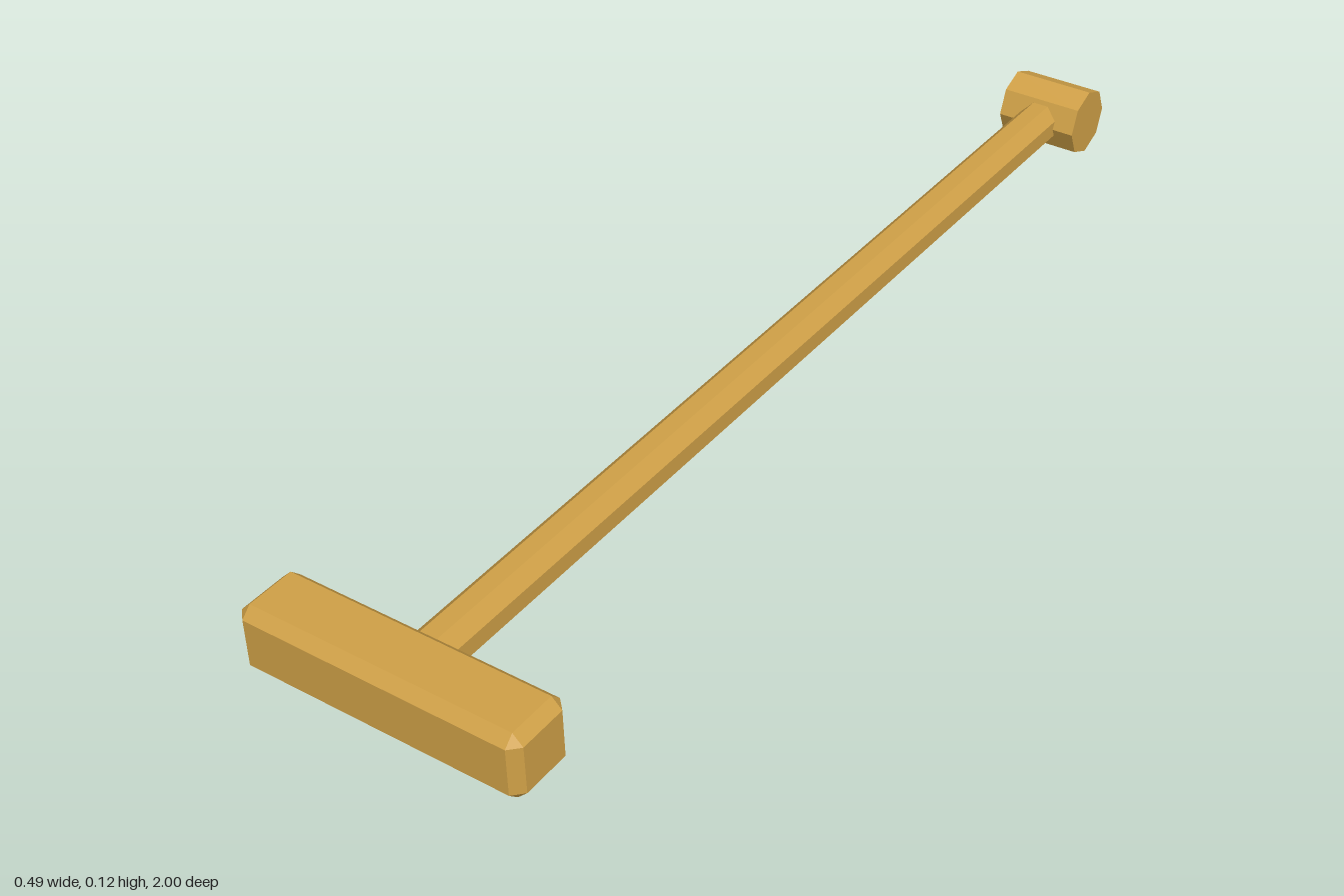
import * as THREE from 'three';
import { ConvexGeometry } from 'three/addons/geometries/ConvexGeometry.js';

// Box with every edge chamfered: three corner points per octant, wrapped in a hull
function chamferedBox(w, h, d, c) {
  const points = [];
  for (const sx of [-1, 1]) for (const sy of [-1, 1]) for (const sz of [-1, 1]) {
    const x = w / 2, y = h / 2, z = d / 2;
    points.push(
      new THREE.Vector3(sx * x, sy * (y - c), sz * (z - c)),
      new THREE.Vector3(sx * (x - c), sy * y, sz * (z - c)),
      new THREE.Vector3(sx * (x - c), sy * (y - c), sz * z));
  }
  return new ConvexGeometry(points);
}

export function createModel() {
  const group = new THREE.Group();
  const gold = new THREE.MeshStandardMaterial({ color: 0xcfa047, flatShading: true });
  gold.name = 'gold';
  const axisY = 0.063;

  function add(name, geometry, z) {
    const mesh = new THREE.Mesh(geometry, gold);
    mesh.name = name;
    mesh.position.set(0, axisY, z);
    group.add(mesh);
  }

  // Wide chamfered crossbar at the front
  add('crossbar', chamferedBox(0.492, 0.116, 0.116, 0.017), 0.942);

  // Long octagonal rod, flat side up
  const rod = new THREE.CylinderGeometry(0.039, 0.039, 1.86, 8);
  rod.rotateY(Math.PI / 8).rotateX(Math.PI / 2);
  add('rod', rod, 0);

  // Octagonal end piece lying across the rod, corner up
  const knob = new THREE.CylinderGeometry(0.0625, 0.0625, 0.152, 8);
  knob.rotateZ(Math.PI / 2);
  add('endKnob', knob, -0.9375);

  return group;
}
